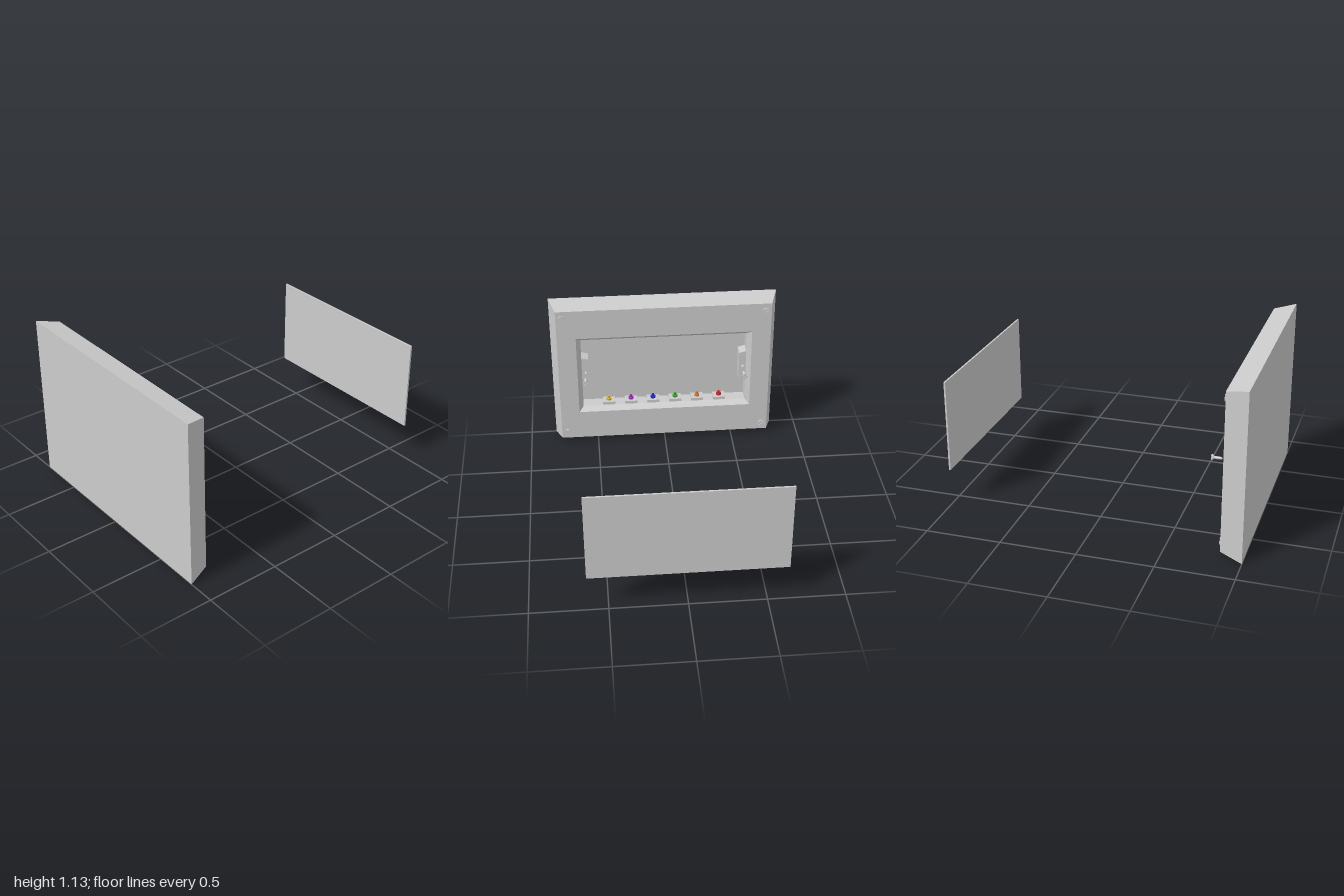
import * as THREE from 'three';

const paint = (color = 0xcccccc, extra = {}) => new THREE.MeshStandardMaterial({ color, ...extra });
const grey = paint();
const flat = paint(0xcccccc, { flatShading: true });

function add(parent, name, geometry, material, x = 0, y = 0, z = 0) {
  const mesh = new THREE.Mesh(geometry, material);
  mesh.name = name;
  mesh.position.set(x, y, z);
  parent.add(mesh);
  return mesh;
}

// Skin through nested rectangles [x, half width in z, bottom, top], closed at both ends
function loftRectangles(loops) {
  const pos = [], index = [];
  for (const [x, w, b, t] of loops) pos.push(x, b, -w, x, t, -w, x, t, w, x, b, w);
  for (let k = 0; k < loops.length - 1; k++) {
    for (let i = 0; i < 4; i++) {
      const a = k * 4 + i, b = k * 4 + (i + 1) % 4;
      index.push(a, b, b + 4, a, b + 4, a + 4);
    }
  }
  const e = (loops.length - 1) * 4;
  index.push(0, 2, 1, 0, 3, 2, e, e + 1, e + 2, e, e + 2, e + 3);
  const g = new THREE.BufferGeometry();
  g.setAttribute('position', new THREE.Float32BufferAttribute(pos, 3));
  g.setIndex(index);
  const out = g.toNonIndexed();
  out.computeVertexNormals();
  return out;
}

// Slotted round head: thin disc with two raised halves, facing +x
function slottedHead(name, r, depth, angle) {
  const head = new THREE.Group();
  head.name = name;
  const disc = new THREE.CylinderGeometry(r, r, depth / 2, 24).rotateZ(-Math.PI / 2);
  add(head, 'headBase', disc, grey, depth / 4);
  for (const turn of [0, Math.PI]) {
    const half = new THREE.Shape();
    half.absarc(0, 0, r, 0.15, Math.PI - 0.15);
    half.closePath();
    const g = new THREE.ExtrudeGeometry(half, { depth: depth / 2, bevelEnabled: false, curveSegments: 16 });
    g.rotateZ(angle + turn).rotateY(Math.PI / 2);
    add(head, 'headHalf', g, grey, depth / 2);
  }
  return head;
}

// Threaded countersunk screw along x, tip at x = 0
function looseScrew() {
  const screw = new THREE.Group();
  screw.name = 'fixingScrew';
  const profile = [[0, 0], [0.004, 0.006]];
  for (let i = 0; i < 6; i++) {
    const y = 0.008 + i * 0.007;
    profile.push([0.007, y], [0.011, y + 0.0035]);
  }
  profile.push([0.007, 0.052], [0.009, 0.056], [0.02, 0.066], [0, 0.066]);
  const g = new THREE.LatheGeometry(profile.map(p => new THREE.Vector2(...p)), 20);
  add(screw, 'threadedShaft', g.rotateZ(-Math.PI / 2), grey);
  const head = slottedHead('screwHead', 0.02, 0.006, 0.6);
  head.position.x = 0.066;
  screw.add(head);
  return screw;
}

// Side lug with sloped ends and a screw hole, standing on the -z wall
function lugGeometry() {
  const s = new THREE.Shape();
  s.moveTo(0.55, -0.11);
  s.lineTo(0.605, -0.125);
  s.lineTo(0.605, 0.125);
  s.lineTo(0.55, 0.11);
  s.closePath();
  const hole = new THREE.Path();
  hole.absarc(0.575, 0, 0.01, 0, Math.PI * 2, true);
  s.holes.push(hole);
  return new THREE.ExtrudeGeometry(s, { depth: 0.09, bevelEnabled: false }).rotateY(Math.PI / 2);
}

export function createModel() {
  const model = new THREE.Group();
  model.name = 'wallBox';

  // Housing: tapered outside, chamfered window, recessed tray
  add(model, 'housing', loftRectangles([
    [-1, 0.815, 0.003, 1.135],
    [-0.853, 0.768, 0.038, 1.102],
    [-0.853, 0.632, 0.26, 0.88],
    [-0.89, 0.6, 0.29, 0.85],
    [-0.98, 0.6, 0.29, 0.85],
  ]), flat);

  // Cover plate, pulled away from the window
  add(model, 'coverPlate', new THREE.BoxGeometry(0.012, 0.62, 1.264), grey, 0.994, 0.57);

  // Corner screws
  for (const y of [0.09, 1.045]) {
    for (const side of [-1, 1]) {
      const head = slottedHead('cornerScrew', 0.024, 0.01, side * -0.8);
      head.position.set(-0.853, y, side * 0.727);
      model.add(head);
    }
  }

  // Lugs with their loose fixing screws, one on each side
  for (const turn of [0, Math.PI]) {
    const side = new THREE.Group();
    side.name = 'lugAssembly';
    add(side, 'lug', lugGeometry(), grey, -0.98);
    const screw = looseScrew();
    screw.position.set(-0.812, 0, -0.575);
    side.add(screw);
    side.position.y = 0.575;
    side.rotation.x = turn;
    model.add(side);
  }

  // Row of terminals with coloured collars
  const colors = [0xd8b020, 0xa030c0, 0x2828d0, 0x40a030, 0xe07820, 0xd02020];
  colors.forEach((color, i) => {
    const t = new THREE.Group();
    t.name = 'terminal';
    add(t, 'terminalBlock', new THREE.BoxGeometry(0.075, 0.022, 0.09), grey, 0, 0.011);
    add(t, 'colouredCollar', new THREE.CylinderGeometry(0.018, 0.018, 0.014, 20), paint(color), 0, 0.029);
    add(t, 'terminalPin', new THREE.CylinderGeometry(0.008, 0.008, 0.03, 16), paint(color), 0, 0.04);
    t.position.set(-0.93, 0.29, (2.5 - i) * 0.164);
    model.add(t);
  });

  return model;
}
